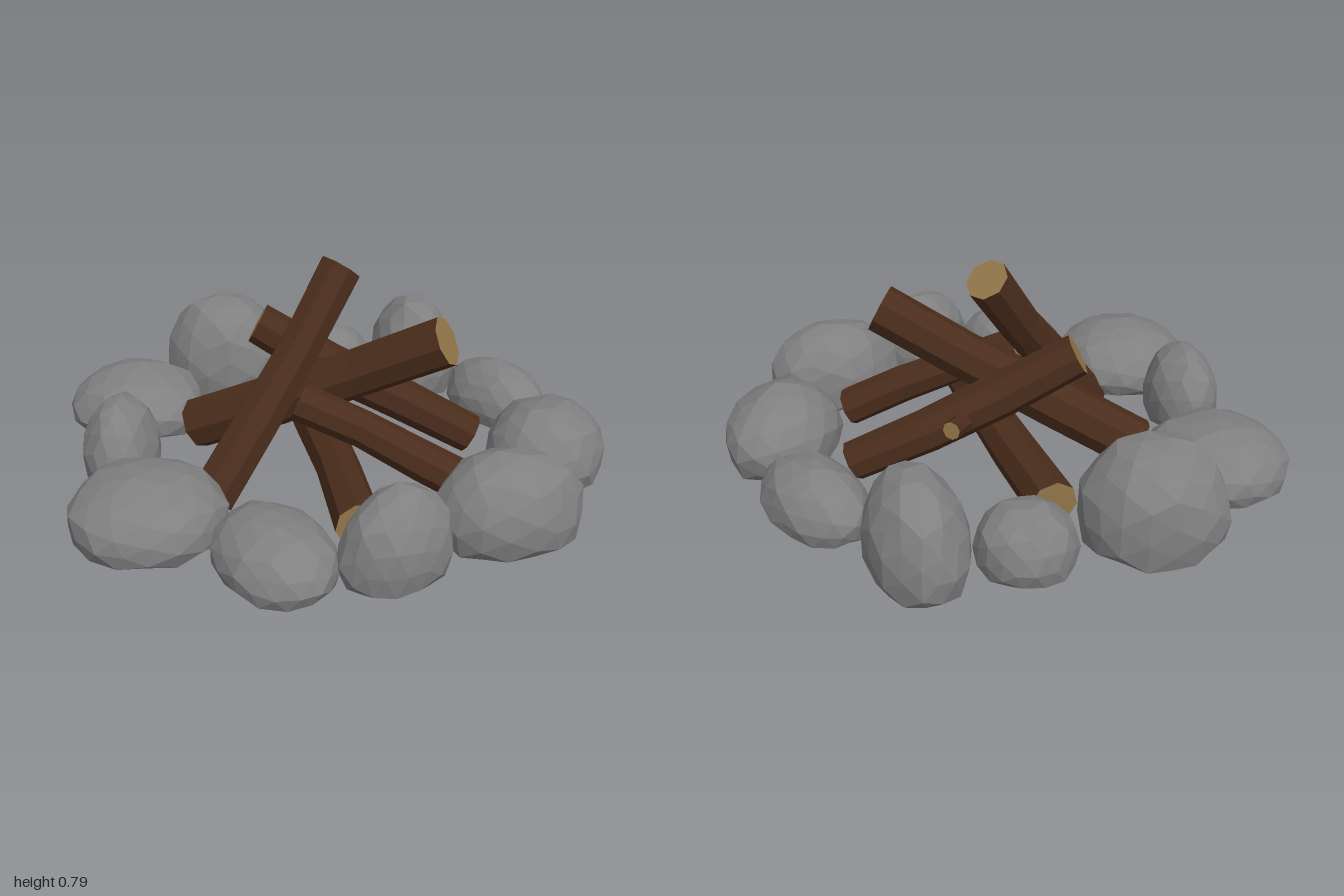
import * as THREE from 'three';

const stoneMat = new THREE.MeshStandardMaterial({ color: 0x808080, flatShading: true });
const barkMat = new THREE.MeshStandardMaterial({ color: 0x4a2d1c, flatShading: true });
const woodMat = new THREE.MeshStandardMaterial({ color: 0x917548, flatShading: true });

const GROUND = 0.05;

// Repeatable value in 0..1 for a point, so shared corners move together
function hash(x, y, z, seed) {
  const s = Math.sin(x * 12.99 + y * 78.23 + z * 37.72 + seed * 4.13) * 437.58;
  return s - Math.floor(s);
}

// Faceted boulder with a flat underside; angle turns its long axis from +x towards +z
function makeStone([x, z, a, b, top, angle], seed) {
  const geo = new THREE.IcosahedronGeometry(1, 2);
  const p = geo.attributes.position;
  const ry = (top - GROUND) / 1.4;
  geo.rotateY(seed * 1.7);
  for (let i = 0; i < p.count; i++) {
    const v = new THREE.Vector3().fromBufferAttribute(p, i);
    const r = (n) => Math.round(n * 100) / 100;
    v.multiplyScalar(1.02 - 0.07 * hash(r(v.x), r(v.y), r(v.z), seed));
    p.setXYZ(i, v.x * a, Math.max(v.y, -0.4) * ry, v.z * b);
  }
  geo.rotateY(-THREE.MathUtils.degToRad(angle));
  geo.computeVertexNormals();
  const stone = new THREE.Mesh(geo, stoneMat);
  stone.position.set(x, GROUND + 0.4 * ry, z);
  stone.name = 'stone';
  return stone;
}

// Eight-sided log between two points, slightly bowed, with bare wood at both ends
function makeLog(from, to, radius, bow, name) {
  const a = new THREE.Vector3(...from), b = new THREE.Vector3(...to);
  const dir = b.clone().sub(a);
  const len = dir.length();
  const geo = new THREE.CylinderGeometry(radius, radius, len, 8, 3);
  const p = geo.attributes.position;
  for (let i = 0; i < p.count; i++) {
    const t = p.getY(i) / len + 0.5;
    const swell = 1 + 0.06 * Math.sin(t * 5 + bow * 90);
    p.setX(i, p.getX(i) * swell + bow * Math.sin(Math.PI * t));
    p.setZ(i, p.getZ(i) * swell + bow * 0.6 * Math.sin(2 * Math.PI * t));
  }
  geo.computeVertexNormals();
  const log = new THREE.Mesh(geo, [barkMat, woodMat, woodMat]);
  log.position.copy(a).add(b).multiplyScalar(0.5);
  log.quaternion.setFromUnitVectors(new THREE.Vector3(0, 1, 0), dir.normalize());
  log.name = name;
  return log;
}

export function createModel() {
  const model = new THREE.Group();
  model.name = 'campfire';

  // Ring of stones: x, z, half length, half width, top height, angle
  const ring = new THREE.Group();
  ring.name = 'stoneRing';
  [
    [-0.74, 0.02, 0.26, 0.25, 0.26, 0],
    [-0.59, -0.40, 0.25, 0.205, 0.43, -15],
    [-0.24, -0.64, 0.17, 0.155, 0.28, -15],
    [0.08, -0.755, 0.24, 0.165, 0.41, 52],
    [0.49, -0.595, 0.24, 0.155, 0.26, 30],
    [0.77, -0.255, 0.245, 0.205, 0.31, 85],
    [0.77, 0.205, 0.255, 0.185, 0.35, -42],
    [0.53, 0.56, 0.2, 0.145, 0.35, -62],
    [0.19, 0.705, 0.245, 0.185, 0.24, 35],
    [-0.275, 0.68, 0.265, 0.262, 0.27, 0],
    [-0.56, 0.4, 0.195, 0.135, 0.34, 65],
  ].forEach((s, i) => ring.add(makeStone(s, i + 1)));
  model.add(ring);

  // Stacked logs
  const logs = new THREE.Group();
  logs.name = 'logPile';
  logs.add(
    makeLog([-0.19, 0.05, 0.43], [0.05, 0.745, -0.09], 0.078, 0.012, 'tallLog'),
    makeLog([-0.46, 0.1, 0.06], [0.46, 0.565, -0.04], 0.09, 0.008, 'leaningLog'),
    makeLog([0.48, 0.09, -0.31], [-0.26, 0.495, -0.06], 0.076, -0.015, 'backLog'),
    makeLog([0.65, 0.08, 0.05], [0.03, 0.36, 0.2], 0.068, 0.012, 'sideLog'),
    makeLog([-0.27, 0.12, -0.41], [0.37, 0.12, 0.47], 0.08, 0.01, 'groundLog'),
    makeLog([0.08, 0.27, -0.18], [0.105, 0.29, -0.33], 0.034, 0, 'branchStub')
  );
  model.add(logs);

  return model;
}
